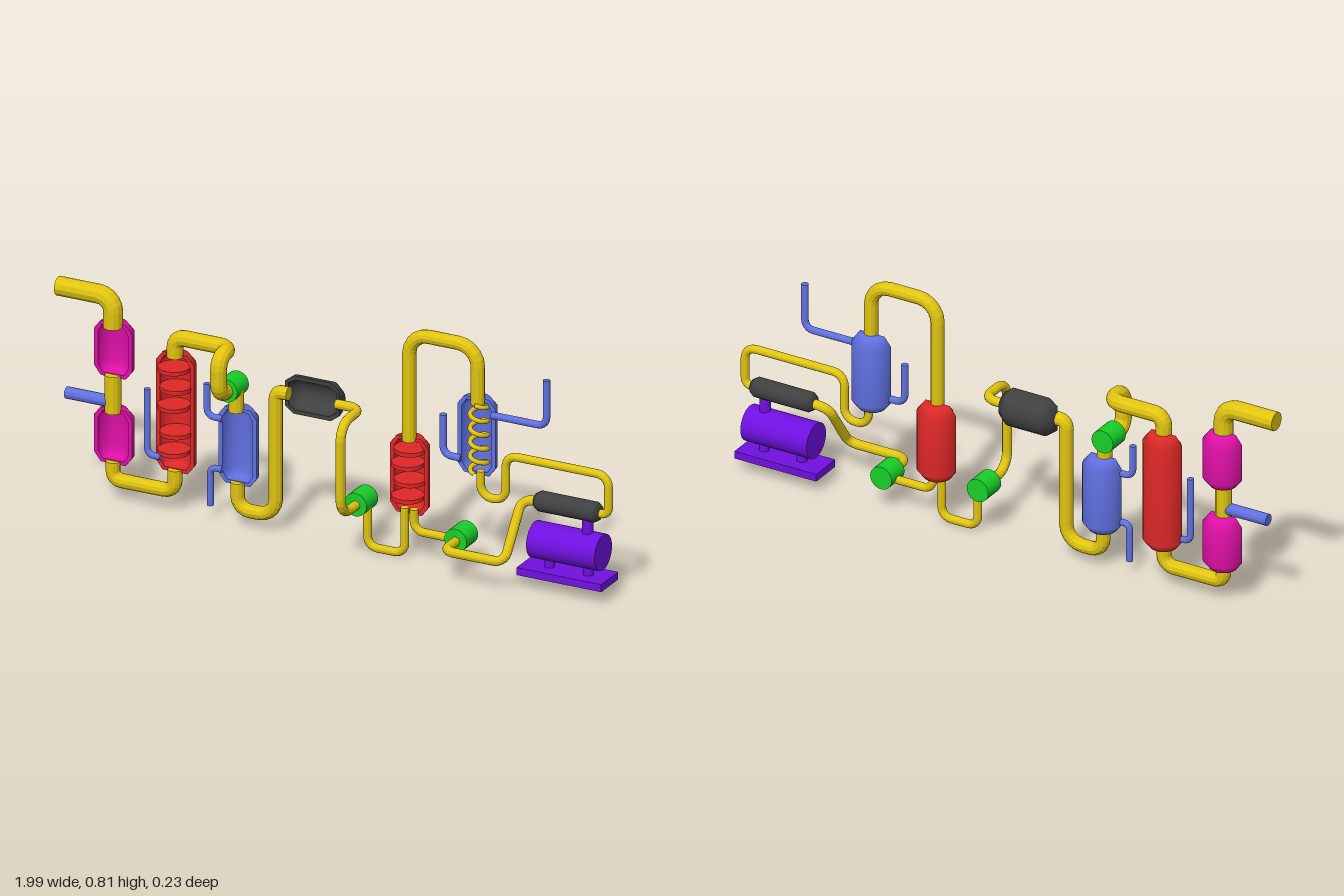
import * as THREE from 'three';
import { mergeGeometries } from 'three/addons/utils/BufferGeometryUtils.js';

const Z = -0.04; // plane in which the plant is laid out
const mat = (color, opts = {}) => new THREE.MeshStandardMaterial({ color, ...opts });
const V = (x, y, z = Z) => new THREE.Vector3(x, y, z);

const YELLOW = 0xe0c410, BLUE = 0x6070e0, RED = 0xe02828, MAGENTA = 0xe010a8;
const GREEN = 0x18d028, BLACK = 0x404040, PURPLE = 0x7010e0;

// Straight runs with rounded corners, sampled only where the pipe bends
class PipeCurve extends THREE.Curve {
  constructor(corners, bend) {
    super();
    this.pts = [corners[0]];
    this.tans = [corners[1].clone().sub(corners[0]).normalize()];
    for (let i = 1; i < corners.length - 1; i++) {
      const c = corners[i];
      const a = corners[i - 1].clone().sub(c), b = corners[i + 1].clone().sub(c);
      const d = Math.min(bend, a.length() * 0.48, b.length() * 0.48);
      const q = new THREE.CubicBezierCurve3(
        c.clone().addScaledVector(a.normalize(), d), c.clone().addScaledVector(a, d * 0.45),
        c.clone().addScaledVector(b.normalize(), d * 0.45), c.clone().addScaledVector(b, d));
      for (let k = 0; k <= 5; k++) {
        this.pts.push(q.getPoint(k / 5));
        this.tans.push(q.getTangent(k / 5));
      }
    }
    const n = corners.length;
    this.pts.push(corners[n - 1]);
    this.tans.push(corners[n - 1].clone().sub(corners[n - 2]).normalize());
    this.count = this.pts.length - 1;
  }
  getPointAt(u) { return this.pts[Math.round(u * this.count)].clone(); }
  getTangentAt(u) { return this.tans[Math.round(u * this.count)].clone(); }
}

function pipe(name, r, corners, color = YELLOW, bend = 0.06) {
  const curve = new PipeCurve(corners.map(c => V(...c)), bend);
  const parts = [new THREE.TubeGeometry(curve, curve.count, r, 12)];
  // end caps
  for (const u of [0, 1]) {
    const dir = curve.getTangentAt(u).multiplyScalar(u ? 1 : -1);
    const cap = new THREE.CircleGeometry(r, 12);
    cap.applyQuaternion(new THREE.Quaternion().setFromUnitVectors(new THREE.Vector3(0, 0, 1), dir));
    const p = curve.getPointAt(u);
    parts.push(cap.translate(p.x, p.y, p.z));
  }
  const mesh = new THREE.Mesh(mergeGeometries(parts), mat(color, { flatShading: true }));
  mesh.name = name;
  return mesh;
}

// Cutaway vessel: the hollow back half of a chamfered cylinder, centred at the origin
function halfVessel(name, color, length, r = 0.068) {
  const outline = (rad, h, neck, ch) => [[0, -h], [neck, -h], [rad, -h + ch], [rad, h - ch], [neck, h], [0, h]]
    .map(([x, y]) => new THREE.Vector2(x, y));
  const outer = outline(r, length / 2, r * 0.66, 0.03);
  const inner = outline(r - 0.014, length / 2 - 0.012, r * 0.56, 0.026);
  const mirror = pts => [...pts, ...pts.slice(1, -1).reverse().map(p => new THREE.Vector2(-p.x, p.y))];
  const rim = new THREE.Shape(mirror(outer));
  rim.holes.push(new THREE.Path(mirror(inner)));
  const g = new THREE.Group();
  g.name = name;
  const m = mat(color, { side: THREE.DoubleSide });
  const shell = p => new THREE.LatheGeometry(p, 16, Math.PI / 2, Math.PI);
  for (const [part, geo] of [['outerShell', shell(outer)], ['innerShell', shell(inner)], ['cutRim', new THREE.ShapeGeometry(rim)]]) {
    const mesh = new THREE.Mesh(geo, m);
    mesh.name = part;
    g.add(mesh);
  }
  return g;
}

function cylinder(name, color, r, length, pos, axis = 'y', sides = 24) {
  const geo = new THREE.CylinderGeometry(r, r, length, sides);
  if (axis === 'x') geo.rotateZ(Math.PI / 2);
  if (axis === 'z') geo.rotateX(Math.PI / 2);
  const mesh = new THREE.Mesh(geo, mat(color));
  mesh.position.set(...pos);
  mesh.name = name;
  return mesh;
}

export function createModel() {
  const root = new THREE.Group();
  root.name = 'processPlant';

  // Upright cutaway vessels: name, colour, x, bottom, top
  for (const [name, color, x, y0, y1] of [
    ['upperFilter', MAGENTA, -0.803, 0.425, 0.615],
    ['lowerFilter', MAGENTA, -0.803, 0.125, 0.315],
    ['tallColumn', RED, -0.58, 0.14, 0.55],
    ['cooler', BLUE, -0.355, 0.14, 0.405],
    ['shortColumn', RED, 0.262, 0.16, 0.425],
    ['coilCondenser', BLUE, 0.505, 0.345, 0.61],
  ]) {
    const v = halfVessel(name, color, y1 - y0);
    v.position.set(x, (y0 + y1) / 2, Z);
    root.add(v);
  }

  // Lying cutaway drum
  const drum = halfVessel('drum', BLACK, 0.195, 0.066);
  drum.rotation.z = Math.PI / 2;
  drum.position.set(-0.087, 0.492, Z);
  root.add(drum);

  // Baffle trays, staggered left and right
  const trays = (x, ys) => ys.forEach((y, i) =>
    root.add(cylinder('tray', RED, 0.053, 0.014, [x + (i % 2 ? 0.004 : -0.004), y, Z])));
  trays(-0.58, [0.215, 0.28, 0.37, 0.435, 0.5]);
  trays(0.262, [0.22, 0.278, 0.335, 0.385]);

  // Main process pipes
  root.add(
    pipe('inletPipe', 0.032, [[-1, 0.705], [-0.803, 0.705], [-0.803, 0.6]], YELLOW, 0.075),
    pipe('filterLink', 0.027, [[-0.803, 0.435], [-0.803, 0.305]]),
    pipe('filterToColumn', 0.024, [[-0.803, 0.135], [-0.803, 0.072], [-0.58, 0.072], [-0.58, 0.15]], YELLOW, 0.04),
    pipe('columnToValve', 0.027, [[-0.58, 0.54], [-0.58, 0.61], [-0.378, 0.61], [-0.378, 0.61, 0.047],
      [-0.378, 0.475, 0.047], [-0.378, 0.475]], YELLOW, 0.045),
    pipe('valveToCooler', 0.025, [[-0.36, 0.475], [-0.36, 0.395]]),
    pipe('coolerToDrum', 0.023, [[-0.355, 0.15], [-0.355, 0.057], [-0.217, 0.057], [-0.217, 0.492], [-0.17, 0.492]]),
    pipe('drumToValve', 0.016, [[0, 0.49], [0.09, 0.49], [0.09, 0.49, 0.104], [0.09, 0.17, 0.104], [0.09, 0.17]]),
    pipe('valveToColumn', 0.014, [[0.09, 0.17], [0.113, 0.17], [0.113, 0.018], [0.247, 0.018], [0.247, 0.18]], YELLOW, 0.035),
    pipe('columnDrain', 0.014, [[0.28, 0.18], [0.28, 0.105], [0.45, 0.105]], YELLOW, 0.035),
    pipe('valveToExchanger', 0.016, [[0.45, 0.115], [0.45, 0.115, 0.083], [0.668, 0.115, 0.083], [0.668, 0.29], [0.74, 0.295]], YELLOW, 0.035),
    pipe('overheadPipe', 0.023, [[0.263, 0.415], [0.263, 0.788], [0.51, 0.788], [0.51, 0.59]], YELLOW, 0.07),
    pipe('condenserOutlet', 0.014, [[0.52, 0.36], [0.52, 0.272], [0.61, 0.272], [0.61, 0.432], [0.98, 0.432], [0.98, 0.295], [0.93, 0.295]], YELLOW, 0.04),
  );

  // Side branches
  root.add(
    pipe('filterBranch', 0.02, [[-0.97, 0.34], [-0.81, 0.34]], BLUE),
    pipe('tallColumnBranch', 0.011, [[-0.68, 0.41], [-0.68, 0.182], [-0.63, 0.182]], BLUE, 0.03),
    pipe('coolerUpperBranch', 0.011, [[-0.465, 0.47], [-0.465, 0.358], [-0.41, 0.358]], BLUE, 0.03),
    pipe('coolerLowerBranch', 0.011, [[-0.453, 0.05], [-0.453, 0.182], [-0.41, 0.182]], BLUE, 0.03),
    pipe('condenserLeftBranch', 0.012, [[0.385, 0.53], [0.385, 0.39], [0.45, 0.39]], BLUE, 0.03),
    pipe('condenserRightBranch', 0.012, [[0.56, 0.56], [0.757, 0.56], [0.757, 0.72]], BLUE, 0.03),
  );

  // Condenser coil
  const turns = 5;
  const coilPoints = Array.from({ length: turns * 12 + 1 }, (_, i) => {
    const a = i / 12 * Math.PI * 2;
    return V(0.513 + 0.028 * Math.sin(a), 0.595 - 0.24 * i / (turns * 12), Z + 0.028 * Math.cos(a));
  });
  const coil = new THREE.Mesh(
    new THREE.TubeGeometry(new THREE.CatmullRomCurve3(coilPoints), 120, 0.008, 8), mat(YELLOW));
  coil.name = 'coil';
  root.add(coil);

  // Valves
  for (const [x, y] of [[-0.375, 0.477], [0.09, 0.172], [0.45, 0.118]])
    root.add(cylinder('valve', GREEN, 0.04, 0.08, [x, y, Z], 'z'));

  // Heat exchanger with tapered ends
  const profile = [[0, -0.115], [0.024, -0.115], [0.034, -0.1], [0.034, 0.1], [0.024, 0.115], [0, 0.115]]
    .map(p => new THREE.Vector2(...p));
  const exchanger = new THREE.Mesh(new THREE.LatheGeometry(profile, 16), mat(BLACK));
  exchanger.rotation.z = Math.PI / 2;
  exchanger.position.set(0.835, 0.297, Z);
  exchanger.name = 'exchanger';
  root.add(exchanger);

  // Compressor on its base
  const base = new THREE.Mesh(new THREE.BoxGeometry(0.305, 0.026, 0.118), mat(PURPLE));
  base.position.set(0.832, 0.064, Z);
  base.name = 'compressorBase';
  root.add(base,
    cylinder('compressorBody', PURPLE, 0.061, 0.246, [0.838, 0.162, Z], 'x', 32),
    cylinder('compressorNeck', PURPLE, 0.018, 0.09, [0.905, 0.235, Z]));
  for (const x of [0.768, 0.908])
    root.add(cylinder('compressorLeg', PURPLE, 0.017, 0.06, [x, 0.095, Z]));

  return root;
}
